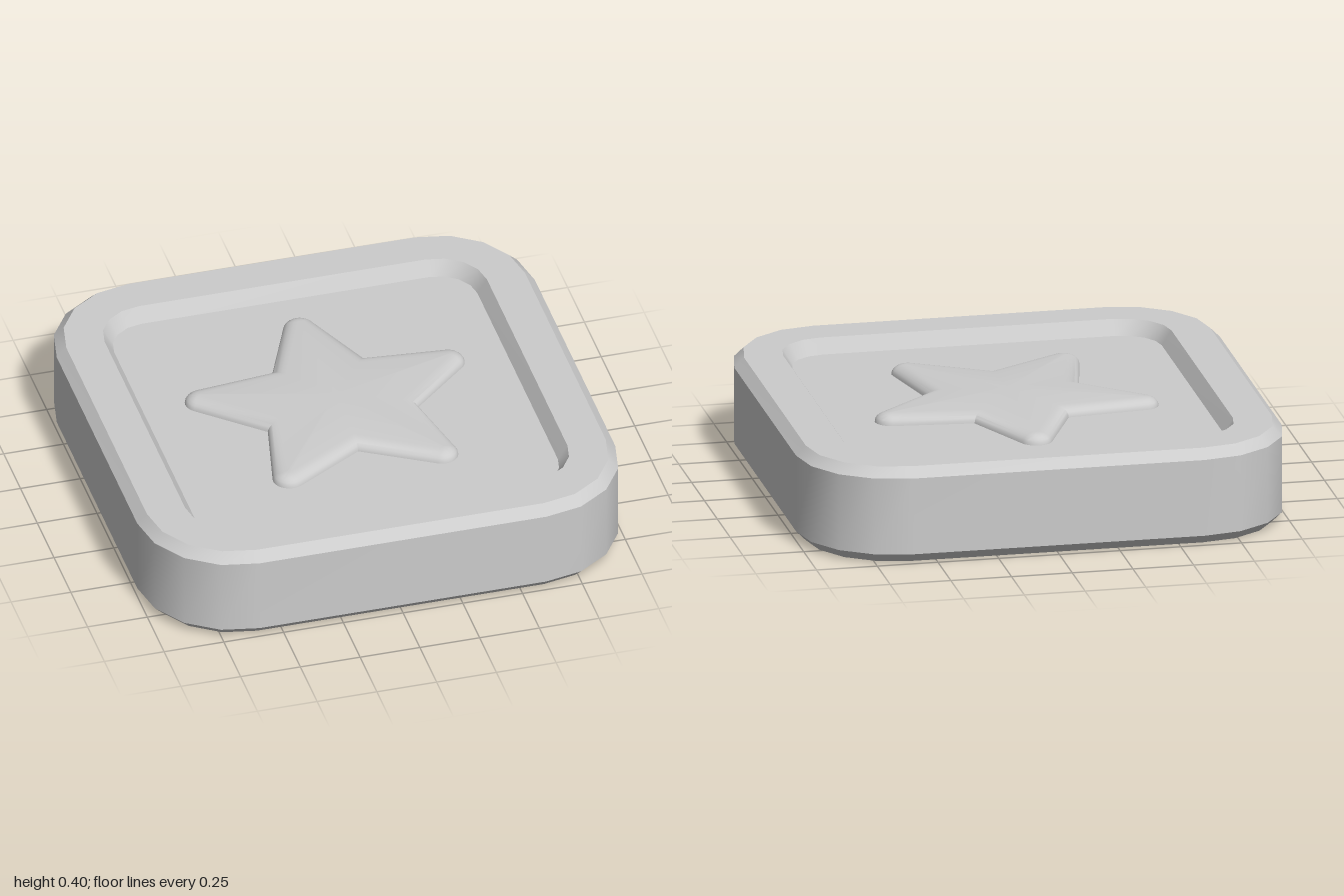
import * as THREE from 'three';
import { mergeGeometries, toCreasedNormals } from 'three/addons/utils/BufferGeometryUtils.js';

const material = new THREE.MeshStandardMaterial({ color: 0xcccccc });

// Skin closed rings of [x, y, z] points, each running counter-clockwise seen from above
function loft(rings) {
  const n = rings[0].length;
  const index = [];
  for (let r = 0; r < rings.length - 1; r++) {
    for (let i = 0; i < n; i++) {
      const a = r * n + i, b = r * n + (i + 1) % n;
      index.push(a, b, b + n, a, b + n, a + n);
    }
  }
  const geometry = new THREE.BufferGeometry();
  geometry.setAttribute('position', new THREE.Float32BufferAttribute(rings.flat(2), 3));
  geometry.setIndex(index);
  geometry.computeVertexNormals();
  return geometry;
}

// Rounded square: four corner arcs of the given radius around (+-0.6, +-0.6)
function squareRing(radius, y) {
  const points = [];
  for (let corner = 0; corner < 4; corner++) {
    const mid = (corner + 0.5) * Math.PI / 2;
    const cx = 0.6 * Math.SQRT2 * Math.cos(mid), cz = -0.6 * Math.SQRT2 * Math.sin(mid);
    for (let s = 0; s <= 4; s++) {
      const a = (corner + s / 4) * Math.PI / 2;
      points.push([cx + radius * Math.cos(a), y, cz - radius * Math.sin(a)]);
    }
  }
  return points;
}

// Five-pointed star with rounded tips, inset evenly by d
const TIP = 0.71, NOTCH = 0.33, TIP_RADIUS = 0.067;
function starRing(d, y) {
  const nx = NOTCH * Math.sin(Math.PI / 5), ny = NOTCH * Math.cos(Math.PI / 5);
  const half = Math.atan2(nx, TIP - ny);
  const k = 1 - d / (TIP * Math.sin(half));
  const centre = TIP - TIP_RADIUS / Math.sin(half);
  const points = [];
  for (let i = 0; i < 5; i++) {
    const dir = Math.PI / 2 + i * Math.PI * 2 / 5;
    for (let s = 0; s <= 10; s++) {
      const a = dir + (s / 5 - 1) * (Math.PI / 2 - half);
      const r = TIP_RADIUS - d;
      points.push([
        centre * Math.cos(dir) + r * Math.cos(a), y,
        -centre * Math.sin(dir) - r * Math.sin(a),
      ]);
    }
    const v = dir + Math.PI / 5;
    points.push([NOTCH * k * Math.cos(v), y, -NOTCH * k * Math.sin(v)]);
  }
  return points;
}

export function createModel() {
  const group = new THREE.Group();
  const floor = 0.34;

  // Tile: chamfered block with a shallow tray on both faces, [corner radius, y]
  const profile = [
    [0.16, 0.06], [0.2, 0], [0.36, 0], [0.4, 0.04],
    [0.4, 0.36], [0.36, 0.4], [0.2, 0.4], [0.16, floor],
  ];
  const rings = profile.map(([r, y]) => squareRing(r, y));
  const point = (y) => rings[0].map(() => [0, y, 0]);
  const loops = [point(0.06), ...rings, point(floor)];
  const bands = loops.slice(1).map((ring, i) => loft([loops[i], ring]));
  const tile = new THREE.Mesh(mergeGeometries(bands), material);
  tile.name = 'tile';
  group.add(tile);

  // Raised star: rounded rim, then gentle slopes to a central peak
  const starRings = [];
  for (let s = 0; s <= 6; s++) {
    const t = s / 6 * Math.PI / 2;
    starRings.push(starRing(0.06 * (1 - Math.cos(t)), floor + 0.04 * Math.sin(t)));
  }
  starRings.push(starRings[0].map(() => [0, 0.4, 0]));
  const star = new THREE.Mesh(toCreasedNormals(loft(starRings), Math.PI / 5), material);
  star.name = 'star';
  group.add(star);

  return group;
}
